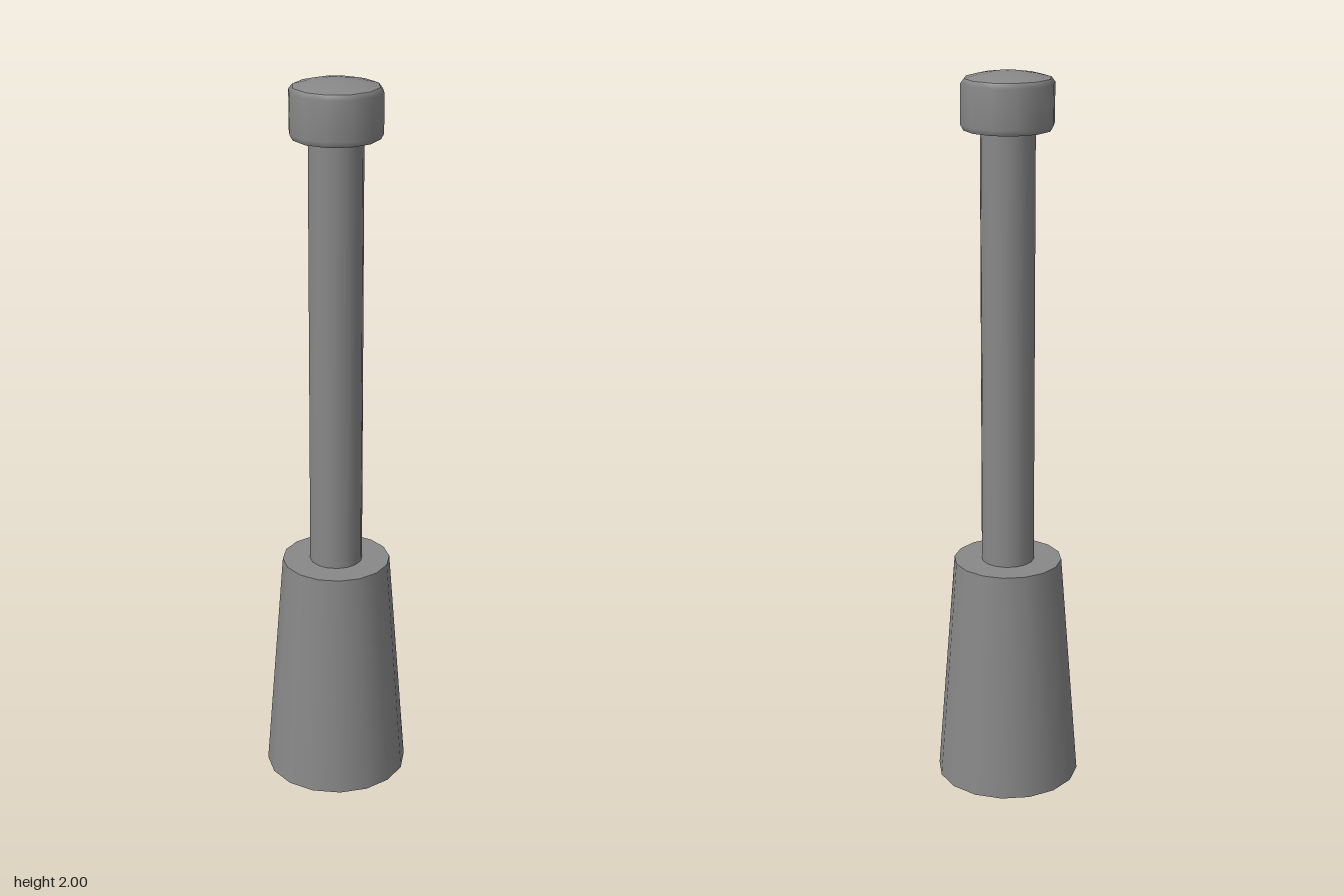
import * as THREE from 'three';

export function createModel() {
  const model = new THREE.Group();
  const grey = new THREE.MeshStandardMaterial({ color: 0x888888, side: THREE.DoubleSide });
  grey.name = 'grey';

  // Each call turns one smooth strip, so edges between strips stay sharp
  function turn(name, sides, profile, parent) {
    const points = profile.map(([r, y]) => new THREE.Vector2(r, y));
    const mesh = new THREE.Mesh(new THREE.LatheGeometry(points, sides), grey);
    mesh.name = name;
    parent.add(mesh);
  }

  // Tapered base, hollow underneath
  const base = new THREE.Group();
  base.name = 'base';
  turn('baseWall', 16, [[0.2, 0], [0.15, 0.65]], base);
  turn('baseTop', 16, [[0.15, 0.65], [0, 0.65]], base);

  // Slim shaft
  turn('shaft', 16, [[0.073, 0.65], [0.073, 1.85]], model);

  // Cap with bevelled rims and a shallow dome
  const cap = new THREE.Group();
  cap.name = 'cap';
  turn('capUnderside', 12, [[0, 1.85], [0.117, 1.85]], cap);
  turn('capSide', 12, [[0.117, 1.85], [0.125, 1.865], [0.125, 1.97], [0.115, 1.983]], cap);
  turn('capDome', 12, [[0.115, 1.983], [0.08, 1.992], [0.04, 1.998], [0, 2]], cap);

  model.add(base, cap);
  return model;
}
